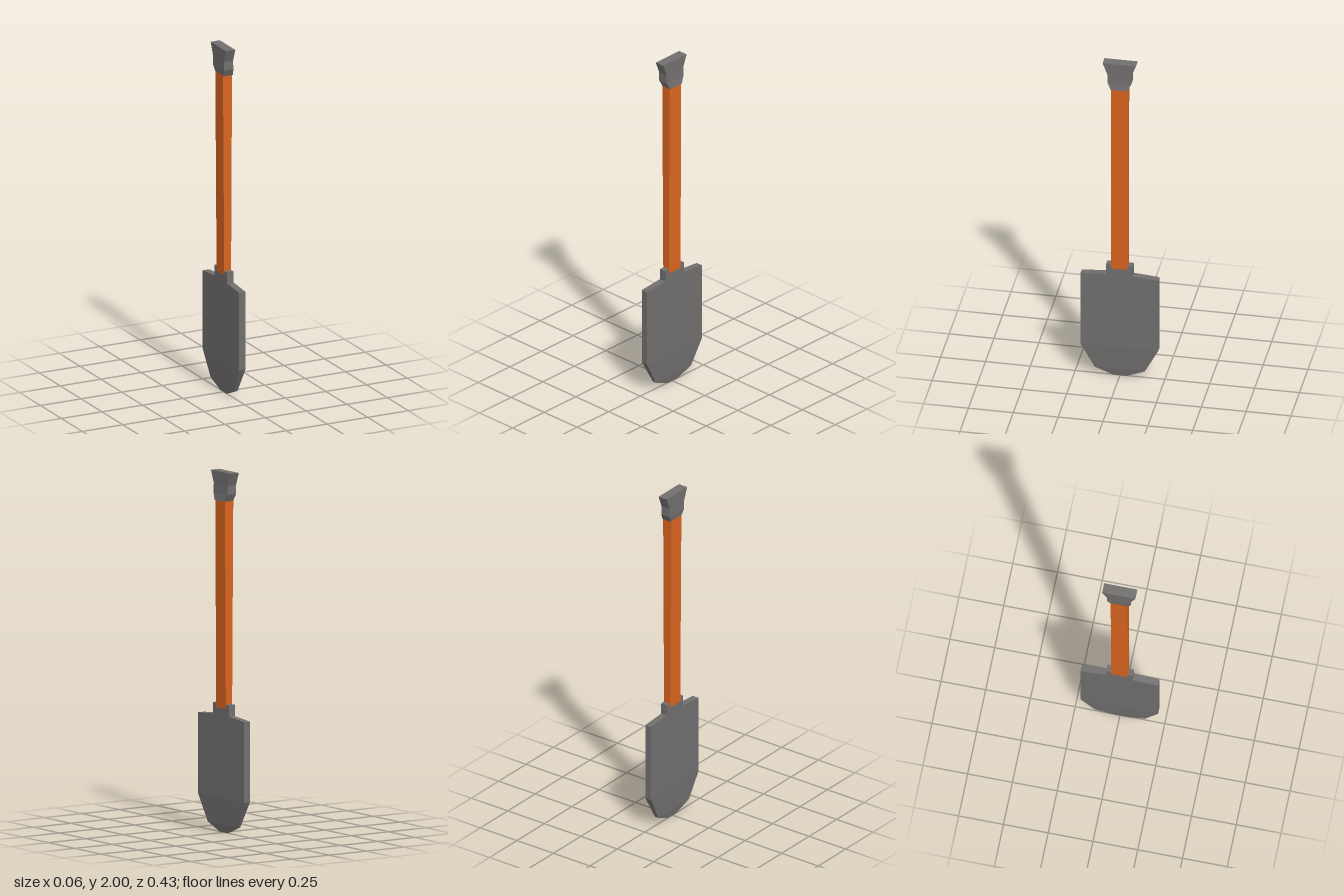
import * as THREE from 'three';

const metal = new THREE.MeshStandardMaterial({ color: 0x716e6e, flatShading: true });
const paint = new THREE.MeshStandardMaterial({ color: 0xd9641f, flatShading: true });

// Lofts rectangular sections, bottom to top: [y, xMin, xMax, half depth in z]
function loft(name, sections, material) {
  const positions = [];
  const index = [];
  for (const [y, x0, x1, hz] of sections) {
    positions.push(x0, y, hz, x1, y, hz, x1, y, -hz, x0, y, -hz);
  }
  for (let s = 0; s < sections.length - 1; s++) {
    for (let i = 0; i < 4; i++) {
      const a = s * 4 + i;
      const b = s * 4 + (i + 1) % 4;
      index.push(a, b, b + 4, a, b + 4, a + 4);
    }
  }
  const t = (sections.length - 1) * 4;
  index.push(0, 2, 1, 0, 3, 2, t, t + 1, t + 2, t, t + 2, t + 3);
  const indexed = new THREE.BufferGeometry();
  indexed.setAttribute('position', new THREE.Float32BufferAttribute(positions, 3));
  indexed.setIndex(index);
  const geometry = indexed.toNonIndexed();
  geometry.computeVertexNormals();
  const mesh = new THREE.Mesh(geometry, material);
  mesh.name = name;
  return mesh;
}

export function createModel() {
  const shovel = new THREE.Group();
  shovel.name = 'shovel';

  // Blade thins to a sharp tip; its shoulders step in to a short collar
  shovel.add(loft('blade', [
    [0, -0.002, 0.004, 0.037],
    [0.045, -0.01, 0.012, 0.14],
    [0.19, -0.019, 0.021, 0.217],
    [0.64, -0.019, 0.021, 0.217],
    [0.652, -0.019, 0.021, 0.074],
    [0.715, -0.019, 0.021, 0.074],
  ], metal));

  // Square shaft, slightly thicker towards the grip
  shovel.add(loft('handle', [
    [0.69, -0.021, 0.021, 0.046],
    [1.86, -0.029, 0.027, 0.046],
  ], paint));

  // Flared grip at the top
  shovel.add(loft('grip', [
    [1.84, -0.028, 0.032, 0.046],
    [1.88, -0.033, 0.025, 0.066],
    [1.93, -0.033, 0.023, 0.066],
    [2, -0.033, 0.023, 0.093],
  ], metal));

  return shovel;
}
